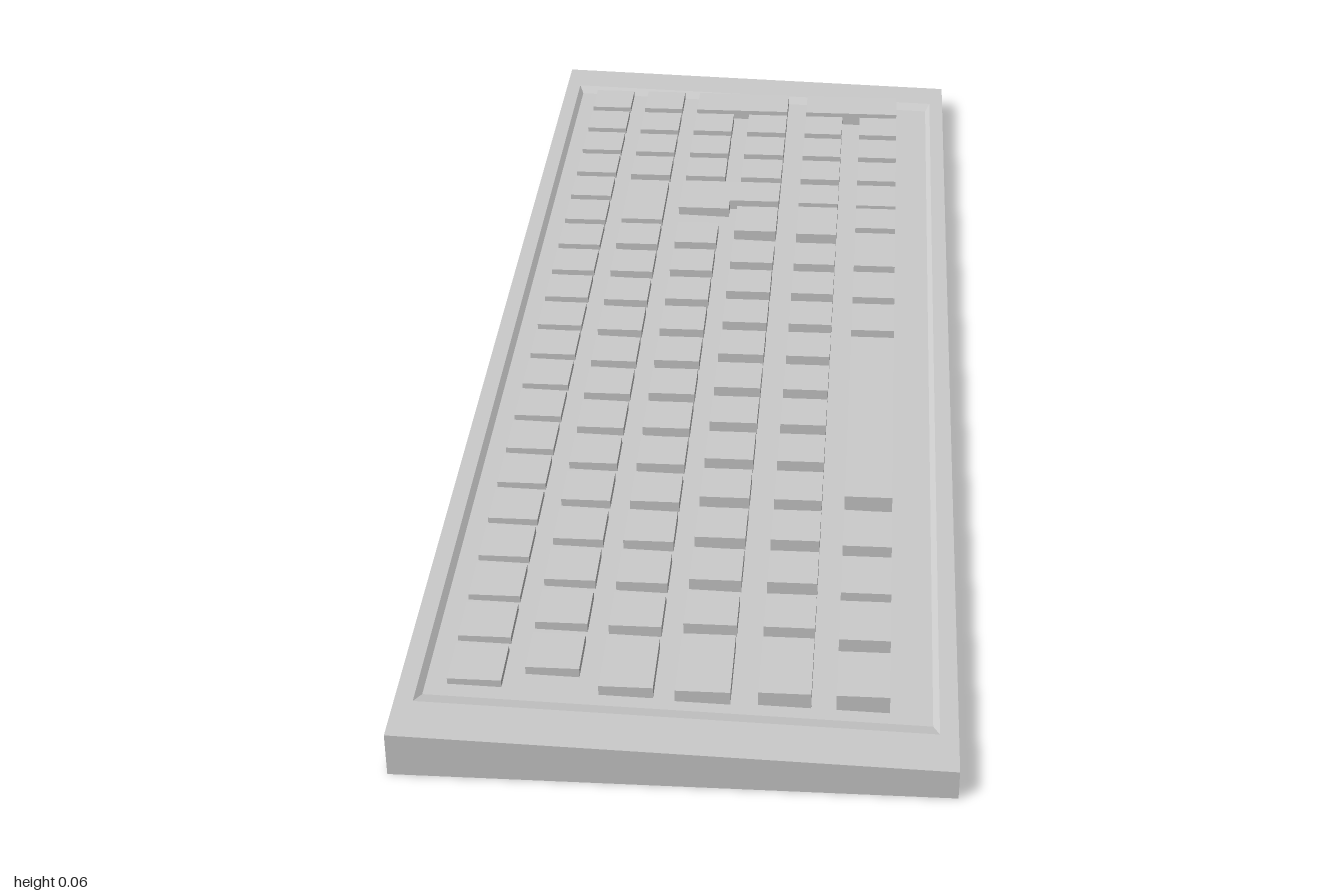
import * as THREE from 'three';

const material = new THREE.MeshStandardMaterial({ color: 0xcccccc, flatShading: true });
const KEY_TOP = 0.063, KEY_BASE = 0.034, KEY = 0.074;

// Height of the sloping top face of the case
const slope = x => 0.052 - x * 0.0285;

// Wedge-shaped case with a shallow bevelled tray, lofted from rectangular rings
function makeCase() {
  const rings = [
    [0.357, 1, () => 0],
    [0.357, 1, slope],
    [0.333, 0.93, slope],
    [0.325, 0.908, x => slope(x) - 0.006],
  ];
  const positions = [], index = [];
  for (const [hx, hz, height] of rings) {
    for (const [sx, sz] of [[-1, 1], [1, 1], [1, -1], [-1, -1]]) {
      positions.push(sx * hx, height(sx * hx), sz * hz);
    }
  }
  for (let r = 0; r < rings.length - 1; r++) {
    for (let i = 0; i < 4; i++) {
      const a = r * 4 + i, b = r * 4 + (i + 1) % 4;
      index.push(a, b, b + 4, a, b + 4, a + 4);
    }
  }
  const last = (rings.length - 1) * 4;
  index.push(last, last + 1, last + 2, last, last + 2, last + 3); // tray floor
  index.push(0, 2, 1, 0, 3, 2); // underside
  const geometry = new THREE.BufferGeometry();
  geometry.setAttribute('position', new THREE.Float32BufferAttribute(positions, 3));
  geometry.setIndex(index);
  const flat = geometry.toNonIndexed();
  flat.computeVertexNormals();
  const mesh = new THREE.Mesh(flat, material);
  mesh.name = 'case';
  return mesh;
}

export function createModel() {
  const model = new THREE.Group();
  model.add(makeCase());

  const keys = new THREE.Group();
  keys.name = 'keys';
  model.add(keys);

  // One key given by its x and z limits
  function key(x0, x1, z0, z1, name = 'key') {
    const geometry = new THREE.BoxGeometry(x1 - x0, KEY_TOP - KEY_BASE, z1 - z0);
    const mesh = new THREE.Mesh(geometry, material);
    mesh.position.set((x0 + x1) / 2, (KEY_TOP + KEY_BASE) / 2, (z0 + z1) / 2);
    mesh.name = name;
    keys.add(mesh);
  }
  // Evenly spaced keys; first and last are the z where those keys begin
  function run([x0, x1], first, last, count) {
    for (let i = 0; i < count; i++) {
      const z = first + (last - first) * i / (count - 1);
      key(x0, x1, z, z + KEY);
    }
  }

  // Rows, from the top row to the space bar
  const rows = [
    [-0.297, -0.227], [-0.2, -0.13], [-0.102, -0.032],
    [-0.004, 0.067], [0.102, 0.17], [0.202, 0.27],
  ];
  const [topRow, numberRow, upperRow, homeRow, lowerRow, spaceRow] = rows;

  // Top row
  run(topRow, -0.907, 0.81, 20);

  // Number row
  run(numberRow, -0.907, -0.632, 4);
  key(...numberRow, -0.537, -0.389, 'backspaceKey');
  run(numberRow, -0.373, 0.78, 13);

  // Number pad: three keys in each remaining row, plus two double-height keys
  for (const row of rows.slice(2)) run(row, -0.817, -0.632, 3);
  key(upperRow[0], homeRow[1], -0.907, -0.833, 'padPlusKey');
  key(lowerRow[0], spaceRow[1], -0.907, -0.833, 'padEnterKey');

  // Upper letter row
  run(upperRow, -0.384, 0.685, 12);
  key(...upperRow, 0.78, 0.887, 'tabKey');

  // Home row
  key(...homeRow, -0.447, -0.357);
  run(homeRow, -0.32, 0.675, 11);
  key(...homeRow, 0.77, 0.89, 'capsKey');

  // Lower letter row
  key(...lowerRow, -0.537, -0.466, 'upArrowKey');
  key(...lowerRow, -0.452, -0.352, 'rightShiftKey');
  run(lowerRow, -0.32, 0.675, 11);
  key(...lowerRow, 0.77, 0.887, 'leftShiftKey');

  // Space bar row
  for (const [z0, z1] of [
    [-0.54, -0.463], [-0.452, -0.38], [-0.362, -0.246], [-0.225, -0.14], [-0.119, -0.034],
    [0.472, 0.558], [0.582, 0.667], [0.685, 0.77], [0.795, 0.887],
  ]) key(...spaceRow, z0, z1);
  key(...spaceRow, -0.013, 0.437, 'spaceBar');

  // L-shaped enter key
  const outline = new THREE.Shape([
    [-0.105, -0.54], [0.067, -0.54], [0.067, -0.468],
    [-0.018, -0.468], [-0.018, -0.437], [-0.105, -0.437],
  ].map(([x, z]) => new THREE.Vector2(x, z)));
  const enterGeometry = new THREE.ExtrudeGeometry(outline, { depth: KEY_TOP - KEY_BASE, bevelEnabled: false });
  enterGeometry.rotateX(Math.PI / 2);
  const enterKey = new THREE.Mesh(enterGeometry, material);
  enterKey.position.y = KEY_TOP;
  enterKey.name = 'enterKey';
  keys.add(enterKey);

  return model;
}
